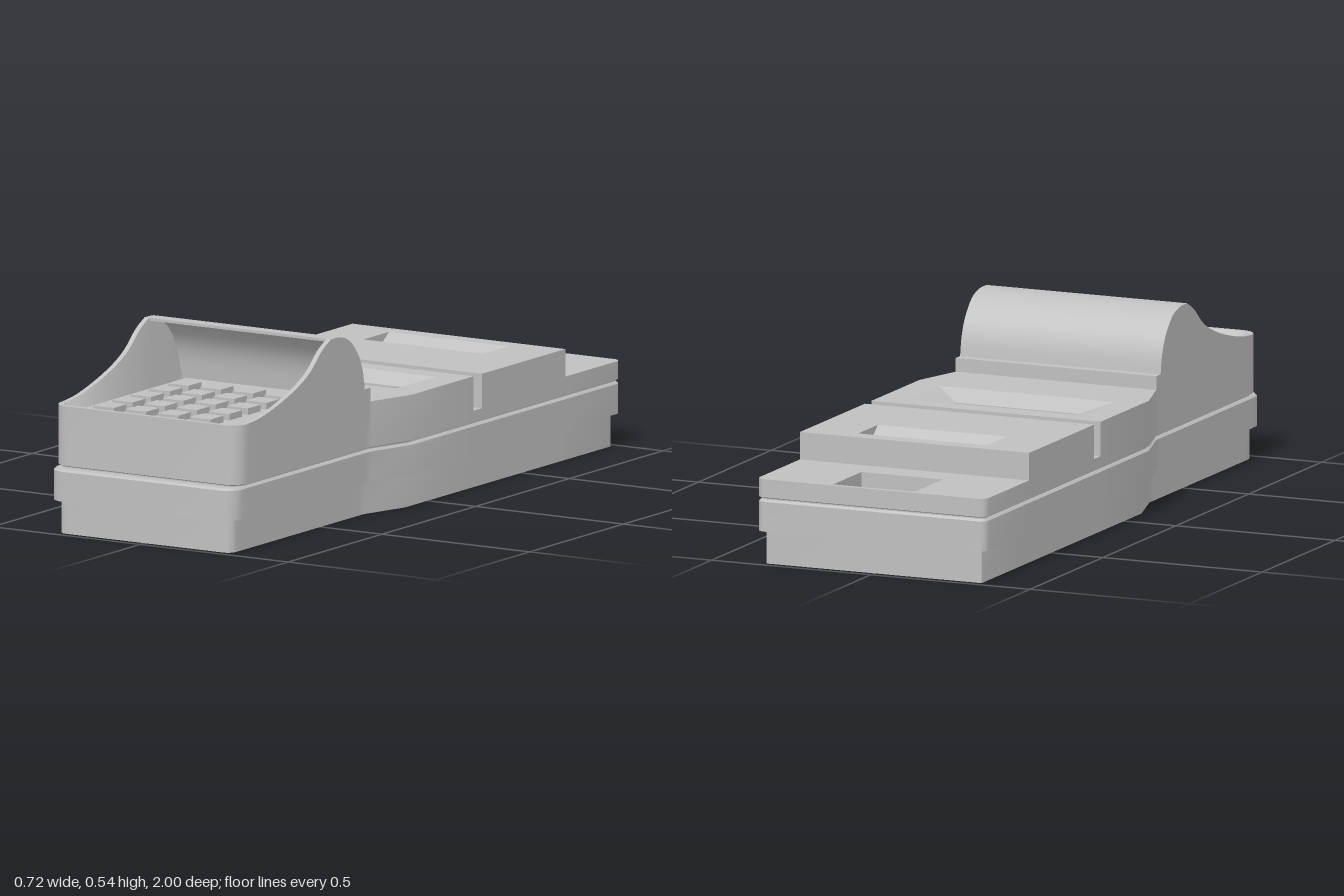
import * as THREE from 'three';
import { toCreasedNormals } from 'three/addons/utils/BufferGeometryUtils.js';

const FRONT_W = 0.315, BACK_W = 0.36, FRONT_R = 0.05, BACK_R = 0.025;
const DECK = 0.33, REAR = 0.25, RIM = 0.37, FLOOR = 0.345, SEAM = 0.197;

// Half width of the body in plan: narrow front, tapering out to the wide rear
const halfWidth = z => THREE.MathUtils.clamp(
  FRONT_W + (0.27 - z) / 0.15 * (BACK_W - FRONT_W), FRONT_W, BACK_W);

const spline = (pts, n) => new THREE.SplineCurve(pts.map(p => new THREE.Vector2(...p)))
  .getPoints(n).map(p => [p.x, p.y]);

// Side profiles as [z, y]
const cheek = spline([[0.925, 0.37], [0.85, 0.378], [0.75, 0.402], [0.66, 0.432],
  [0.59, 0.467], [0.53, 0.517], [0.48, 0.544]], 24);
const hoodBack = spline([[0.48, 0.544], [0.43, 0.542], [0.38, 0.524], [0.335, 0.478],
  [0.31, 0.425], [0.3, RIM]], 20);
const hoodInner = spline([[0.48, 0.536], [0.43, 0.53], [0.385, 0.508], [0.345, 0.46],
  [0.325, 0.41], [0.315, FLOOR]], 20);
const profile = [...cheek, ...hoodBack, [0.27, RIM], [0.27, DECK], [0.12, DECK],
  [-0.21, DECK], [-0.21, 0.23], [-0.255, 0.23], [-0.255, DECK], [-0.7, DECK], [-0.7, REAR]];

// Surface through rows of points
function loft(rows, closed = false) {
  const pos = [];
  const tri = (...t) => {
    const [a, b, c] = t.map(p => new THREE.Vector3(...p));
    if (b.clone().sub(a).cross(c.clone().sub(a)).length() > 1e-9) t.forEach(p => pos.push(...p));
  };
  for (let j = 0; j < rows.length - 1; j++) {
    const lo = rows[j], hi = rows[j + 1], n = lo.length;
    for (let i = 0; i < (closed ? n : n - 1); i++) {
      const k = (i + 1) % n;
      tri(lo[i], lo[k], hi[k]);
      tri(lo[i], hi[k], hi[i]);
    }
  }
  const g = new THREE.BufferGeometry();
  g.setAttribute('position', new THREE.Float32BufferAttribute(pos, 3));
  return toCreasedNormals(g, 0.5);
}

// Rounded front corner, from the front face round to the side, as [x, z]
function frontArc(inset, front) {
  return Array.from({ length: 7 }, (_, i) => {
    const a = i / 6 * Math.PI / 2, r = FRONT_R - inset;
    return [FRONT_W - FRONT_R + r * Math.sin(a), front - FRONT_R + r * Math.cos(a)];
  });
}

// Closed plan outline; with y omitted it follows the top profile
function outline(inset, front, y) {
  const h = v => y ?? v;
  const half = frontArc(inset, front).map(([x, z]) => [x, h(RIM), z]);
  profile.forEach(([z, v]) => half.push([halfWidth(z) - inset, h(v), z]));
  for (let i = 0; i <= 4; i++) {
    const a = i / 4 * Math.PI / 2, r = BACK_R - inset;
    half.push([BACK_W - BACK_R + r * Math.cos(a), h(REAR), -1 + BACK_R - r * Math.sin(a)]);
  }
  return [...half, ...half.map(([x, v, z]) => [-x, v, z]).reverse()];
}

// Sheet spanning the body width along a side profile
const sheet = (pts, w) => loft(pts.map(([z, y]) => [[-w, y, z], [w, y, z]]));

const rect = (x0, x1, z0, z1, y) => [[x0, y, z1], [x1, y, z1], [x1, y, z0], [x0, y, z0]];

// Horizontal plate from [x, z] corners, with an optional hole
function plate(corners, y, hole) {
  const vec = ([x, z]) => new THREE.Vector2(x, -z);
  const s = new THREE.Shape(corners.map(vec));
  if (hole) s.holes.push(new THREE.Path(hole.map(([x, , z]) => vec([x, z]))));
  return new THREE.ShapeGeometry(s).rotateX(-Math.PI / 2).translate(0, y, 0);
}

export function createModel() {
  const model = new THREE.Group();
  model.name = 'cardTerminal';
  const grey = new THREE.MeshStandardMaterial({ color: 0xc0c0c0, side: THREE.DoubleSide });
  grey.name = 'grey plastic';
  const add = (name, geometry, parent = model) => {
    const m = new THREE.Mesh(geometry, grey);
    m.name = name;
    parent.add(m);
    return m;
  };

  // Hollow lower shell: skirt, band and seam groove
  add('skirt', loft([outline(0.022, 1, 0), outline(0.022, 1, 0.097), outline(0, 1, 0.097)], true));
  add('band', loft([outline(0, 1, 0.097), outline(0, 1, 0.184), outline(0.006, 1, 0.19)], true));
  add('seamGroove', loft([outline(0.006, 1, 0.19), outline(0.01, 0.975, 0.19),
    outline(0.01, 0.975, 0.193), outline(0, 0.975, SEAM)], true));

  // Upper side walls, following the stepped top
  add('upperWalls', loft([outline(0, 0.975, SEAM), outline(0, 0.975)], true));

  // Middle deck with bevelled display recess
  const displayRim = rect(-0.28, 0.275, -0.145, 0.065, DECK);
  add('middleDeck', plate([[-FRONT_W, 0.27], [FRONT_W, 0.27], [BACK_W, 0.12], [BACK_W, -0.21],
    [-BACK_W, -0.21], [-BACK_W, 0.12]], DECK, displayRim));
  add('displayRecess', loft([displayRim, rect(-0.195, 0.19, -0.095, 0, 0.3),
    rect(-0.195, 0.19, -0.095, 0, 0.27), rect(-0.195, 0.19, -0.05, -0.05, 0.27)], true));

  // Cross slot between the decks
  add('crossSlot', sheet([[-0.21, DECK], [-0.21, 0.23], [-0.255, 0.23], [-0.255, DECK]], BACK_W));

  // Printer deck with V-shaped groove and the step down behind it
  const grooveRim = rect(-0.205, 0.2, -0.65, -0.515, DECK);
  add('printerDeck', plate([[-BACK_W, -0.255], [BACK_W, -0.255], [BACK_W, -0.7], [-BACK_W, -0.7]],
    DECK, grooveRim));
  add('paperGroove', loft([grooveRim, rect(-0.205, 0.2, -0.58, -0.58, 0.28)], true));
  add('rearStep', sheet([[-0.7, DECK], [-0.7, REAR]], BACK_W));

  // Rear deck with latch pocket
  const pocketRim = rect(-0.13, 0.125, -0.985, -0.79, REAR);
  const rearEdge = outline(0, 0.975).filter(p => p[2] <= -0.7 && p[1] === REAR);
  add('rearDeck', plate(rearEdge.map(([x, , z]) => [x, z]), REAR, pocketRim));
  add('latchPocket', loft([pocketRim, rect(-0.13, 0.125, -0.985, -0.79, 0.205),
    rect(-0.13, 0.125, -0.9, -0.9, 0.205)], true));
  add('latchTab', new THREE.BoxGeometry(0.05, 0.04, 0.018)).position.set(-0.003, 0.225, -0.976);

  // Keypad hood: outer back, lip and inner curve
  add('hoodBack', sheet([...hoodBack, [0.27, RIM], [0.27, DECK]], FRONT_W));
  add('hoodLip', sheet([hoodInner[0], hoodBack[0]], FRONT_W));
  add('hoodInner', sheet(hoodInner, FRONT_W - 0.015));

  // Keypad tray: rim, inner walls and floor, open towards the hood
  const trayRow = (inset, stations, y) => {
    const half = frontArc(inset, 0.975).map(([x, z]) => [x, y ?? RIM, z]);
    stations.forEach(([z, v]) => half.push([FRONT_W - inset, y ?? v, z]));
    return [...half.map(([x, v, z]) => [-x, v, z]).reverse(), ...half];
  };
  const inside = [...cheek, ...hoodInner];
  add('trayRim', loft([trayRow(0, cheek), trayRow(0.015, cheek)]));
  const floorRow = trayRow(0.035, inside, FLOOR);
  add('trayWalls', loft([trayRow(0.015, inside), floorRow]));
  add('trayFloor', plate(floorRow.map(([x, , z]) => [x, z]), FLOOR));

  // Keys, four columns by five rows
  const keys = new THREE.Group();
  keys.name = 'keypad';
  model.add(keys);
  const keyShape = new THREE.BoxGeometry(0.07, 0.02, 0.068);
  for (let row = 0; row < 5; row++) {
    for (let col = 0; col < 4; col++) {
      add('key', keyShape, keys).position.set(-0.19 + col * 0.109, 0.354, 0.862 - row * 0.0995);
    }
  }
  return model;
}
